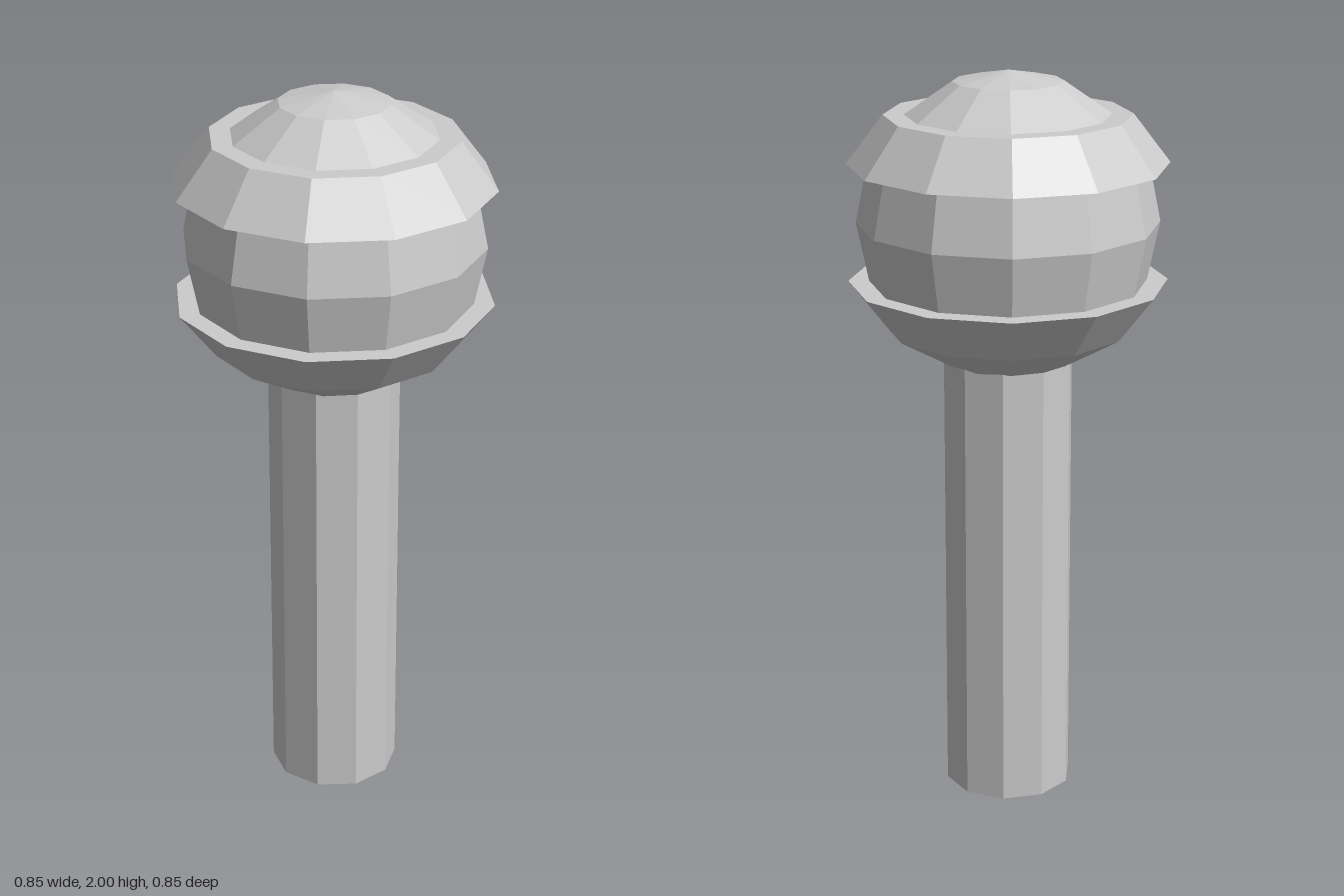
import * as THREE from 'three';

const material = new THREE.MeshStandardMaterial({
  color: 0xcccccc, flatShading: true, side: THREE.DoubleSide,
});

// Faceted part turned from a profile of [radius, height], listed bottom to top
function turned(name, sides, profile) {
  const points = profile.map(([r, y]) => new THREE.Vector2(r, y));
  const mesh = new THREE.Mesh(new THREE.LatheGeometry(points, sides), material);
  mesh.name = name;
  return mesh;
}

export function createModel() {
  const model = new THREE.Group();
  model.name = 'ballHeadedHandle';

  // Hollow ten-sided handle, open at the bottom
  model.add(turned('handle', 10, [[0.176, 0], [0.176, 1.24]]));

  // Lower bowl with a flat rim reaching in to the ball
  model.add(turned('lowerBowl', 12, [
    [0, 1.2], [0.17, 1.228], [0.325, 1.317], [0.423, 1.443], [0.368, 1.443],
  ]));

  // Middle band of the ball
  model.add(turned('ball', 12, [[0.368, 1.443], [0.4, 1.6], [0.368, 1.757]]));

  // Upper collar with flat underside and flat top
  model.add(turned('upperCollar', 12, [
    [0.368, 1.757], [0.423, 1.757], [0.325, 1.885], [0.27, 1.885],
  ]));

  // Shallow dome on top
  model.add(turned('dome', 12, [[0.27, 1.885], [0.145, 1.971], [0, 2]]));

  return model;
}
